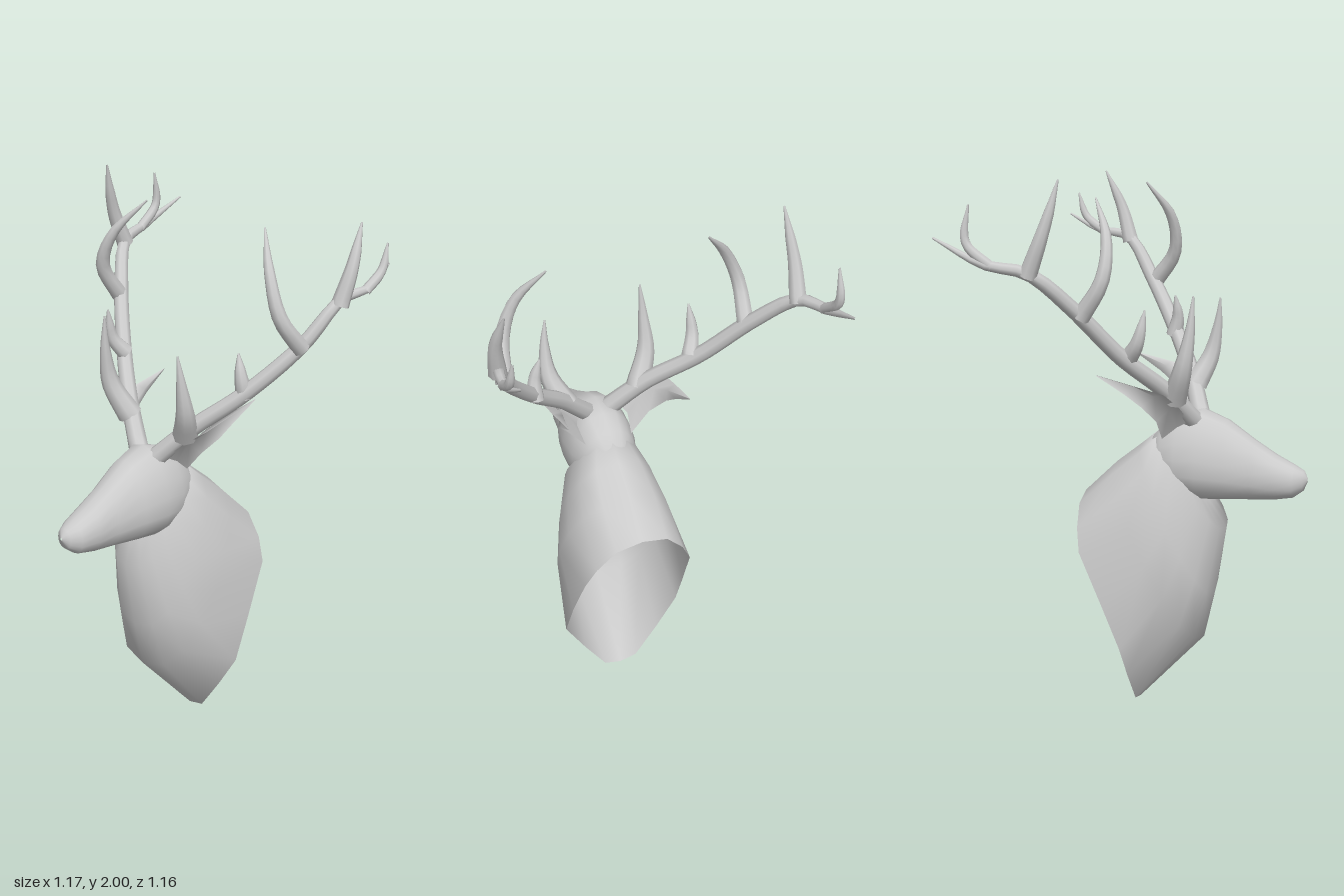
import * as THREE from 'three';

const MID = 0.04; // centre line of head and neck
const mat = new THREE.MeshStandardMaterial({ color: 0xcccccc });
const thinMat = new THREE.MeshStandardMaterial({ color: 0xcccccc, side: THREE.DoubleSide });

// Skin a list of equal-length point rows with smooth normals
function loft(rows, closed = true) {
  const n = rows[0].length, index = [];
  for (let j = 0; j < rows.length - 1; j++) {
    for (let i = 0; i < (closed ? n : n - 1); i++) {
      const a = j * n + i, b = j * n + (i + 1) % n;
      index.push(a, b, a + n, a + n, b, b + n);
    }
  }
  const geo = new THREE.BufferGeometry();
  geo.setAttribute('position', new THREE.Float32BufferAttribute(rows.flat(2), 3));
  geo.setIndex(index);
  geo.computeVertexNormals();
  return geo;
}

// Round branch along a curve, radius following a list of values
function branch(points, radii, steps = 12, sides = 8) {
  const curve = new THREE.CatmullRomCurve3(points.map(p => new THREE.Vector3(...p)));
  const { normals, binormals } = curve.computeFrenetFrames(steps);
  const rows = [];
  for (let j = 0; j <= steps; j++) {
    const c = curve.getPointAt(j / steps);
    const f = j / steps * (radii.length - 1), k = Math.min(Math.floor(f), radii.length - 2);
    const r = THREE.MathUtils.lerp(radii[k], radii[k + 1], f - k);
    rows.push(Array.from({ length: sides }, (_, i) => {
      const a = i / sides * Math.PI * 2;
      return c.clone().addScaledVector(normals[j], r * Math.cos(a))
        .addScaledVector(binormals[j], r * Math.sin(a)).toArray();
    }));
  }
  return loft(rows);
}

function add(parent, name, geo, material = mat) {
  const mesh = new THREE.Mesh(geo, material);
  mesh.name = name;
  parent.add(mesh);
}

// Neck: open shell from the rear rim forward to the throat
function neckGeometry() {
  const rim = [[0, 0.8, -0.263], [0.1, 0.775, -0.255], [0.17, 0.7, -0.24], [0.21, 0.62, -0.22],
    [0.225, 0.43, -0.13], [0.23, 0.27, -0.06], [0.15, 0.14, -0.055], [0.065, 0.015, -0.05], [0, 0, -0.05]];
  // top y, top z, bottom y, bottom z, half width
  const sections = [[0.92, -0.14, 0.27, 0.2, 0.215], [1.0, -0.04, 0.45, 0.24, 0.18],
    [1.05, 0.02, 0.7, 0.28, 0.13], [1.0, 0.1, 0.81, 0.21, 0.09]];
  const halves = [rim, ...sections.map(([ty, tz, by, bz, w]) => rim.map((_, k) => {
    const a = Math.PI * k / 8, t = (1 - Math.cos(a)) / 2;
    return [w * Math.pow(Math.max(Math.sin(a), 0), 0.8), ty + (by - ty) * t, tz + (bz - tz) * t];
  }))];
  return loft(halves.map(h => [
    ...h.map(([x, y, z]) => [MID - x, y, z]),
    ...h.slice(1, 8).reverse().map(([x, y, z]) => [MID + x, y, z]),
  ]));
}

// Head: pear-shaped sections from the back of the skull to the nose
function headGeometry() {
  // z, bottom y, top y, half width, widening towards the jaw
  const sections = [[-0.012, 0.96, 0.99, 0.01, 0], [0.01, 0.9, 1.04, 0.07, 0], [0.05, 0.85, 1.08, 0.105, 0.1],
    [0.11, 0.82, 1.12, 0.125, 0.15], [0.19, 0.81, 1.143, 0.13, 0.2], [0.28, 0.815, 1.108, 0.112, 0.2],
    [0.38, 0.82, 1.04, 0.083, 0.1], [0.46, 0.825, 0.99, 0.072, 0], [0.53, 0.838, 0.956, 0.056, 0],
    [0.565, 0.865, 0.938, 0.033, 0], [0.58, 0.9, 0.91, 0.004, 0]];
  return loft(sections.map(([z, y0, y1, w, pear]) => Array.from({ length: 16 }, (_, i) => {
    const a = i / 16 * Math.PI * 2, c = Math.cos(a), s = Math.sin(a);
    const x = Math.sign(c) * Math.pow(Math.abs(c), 0.8) * w * (1 - pear * s);
    return [MID + x, (y0 + y1) / 2 + s * (y1 - y0) / 2, z];
  })));
}

// Ear: cupped leaf pointing outwards and back
function earGeometry(side) {
  const rows = [
    [[0.08, 1.11, 0.16], [0.1, 1.09, 0.12], [0.09, 1.04, 0.06]],
    [[0.16, 1.18, 0.14], [0.14, 1.16, 0.1], [0.16, 1.12, 0.06]],
    [[0.235, 1.235, 0.11], [0.18, 1.215, 0.06], [0.21, 1.18, 0.02]],
    [[0.235, 1.26, 0.0], [0.2, 1.25, -0.01], [0.22, 1.225, -0.04]],
    [[0.23, 1.29, -0.14], [0.229, 1.289, -0.14], [0.23, 1.287, -0.14]],
  ];
  return loft(rows.map(r => r.map(([x, y, z]) => [MID + side * x, y, z])), false);
}

// Antlers: a main beam and its tines, slightly different on each side
const BEAM = [0.036, 0.031, 0.029, 0.028, 0.025, 0.017, 0.004];
const TINE = [0.032, 0.026, 0.018, 0.003];
const antlers = {
  right: {
    beam: [[0, 1.1, 0.17], [-0.12, 1.23, 0.1], [-0.28, 1.38, -0.02], [-0.42, 1.56, -0.14],
      [-0.525, 1.69, -0.26], [-0.565, 1.72, -0.4], [-0.555, 1.8, -0.583]],
    tines: [
      [[-0.1, 1.2, 0.12], [-0.15, 1.32, 0.165], [-0.15, 1.45, 0.19], [-0.14, 1.58, 0.2]],
      [[-0.25, 1.37, 0.0], [-0.275, 1.43, 0.04], [-0.27, 1.545, 0.066]],
      [[-0.405, 1.53, -0.12], [-0.41, 1.66, -0.04], [-0.355, 1.79, -0.042], [-0.25, 1.918, -0.115]],
      [[-0.525, 1.68, -0.26], [-0.53, 1.8, -0.212], [-0.52, 1.9, -0.18], [-0.505, 2.0, -0.155]],
      [[-0.56, 1.71, -0.37], [-0.565, 1.79, -0.46], [-0.56, 1.915, -0.45]],
    ],
  },
  left: {
    beam: [[0.08, 1.1, 0.17], [0.2, 1.23, 0.1], [0.34, 1.36, 0.0], [0.48, 1.54, -0.14],
      [0.545, 1.69, -0.26], [0.565, 1.71, -0.39], [0.55, 1.77, -0.5]],
    tines: [
      [[0.18, 1.2, 0.12], [0.225, 1.3, 0.165], [0.23, 1.42, 0.19], [0.222, 1.52, 0.2]],
      [[0.34, 1.35, -0.01], [0.335, 1.42, 0.005], [0.315, 1.505, 0.0]],
      [[0.485, 1.53, -0.13], [0.46, 1.65, -0.045], [0.41, 1.79, -0.045], [0.32, 1.922, -0.115]],
      [[0.545, 1.67, -0.25], [0.56, 1.8, -0.29], [0.545, 1.94, -0.35]],
      [[0.563, 1.7, -0.36], [0.568, 1.76, -0.44], [0.565, 1.85, -0.47]],
    ],
  },
};

export function createModel() {
  const model = new THREE.Group();
  model.name = 'mountedStagHead';
  add(model, 'neck', neckGeometry(), thinMat);
  add(model, 'head', headGeometry());
  for (const [name, side] of [['left', 1], ['right', -1]]) {
    add(model, name + 'Ear', earGeometry(side), thinMat);
    const antler = new THREE.Group();
    antler.name = name + 'Antler';
    add(antler, 'beam', branch(antlers[name].beam, BEAM, 24));
    antlers[name].tines.forEach((tine, i) => {
      const radii = i === 0 ? [0.045, 0.034, 0.019, 0.003] : i === 4 ? [0.018, 0.018, 0.014, 0.003] : TINE;
      add(antler, 'tine' + (i + 1), branch(tine, radii));
    });
    model.add(antler);
  }
  return model;
}
